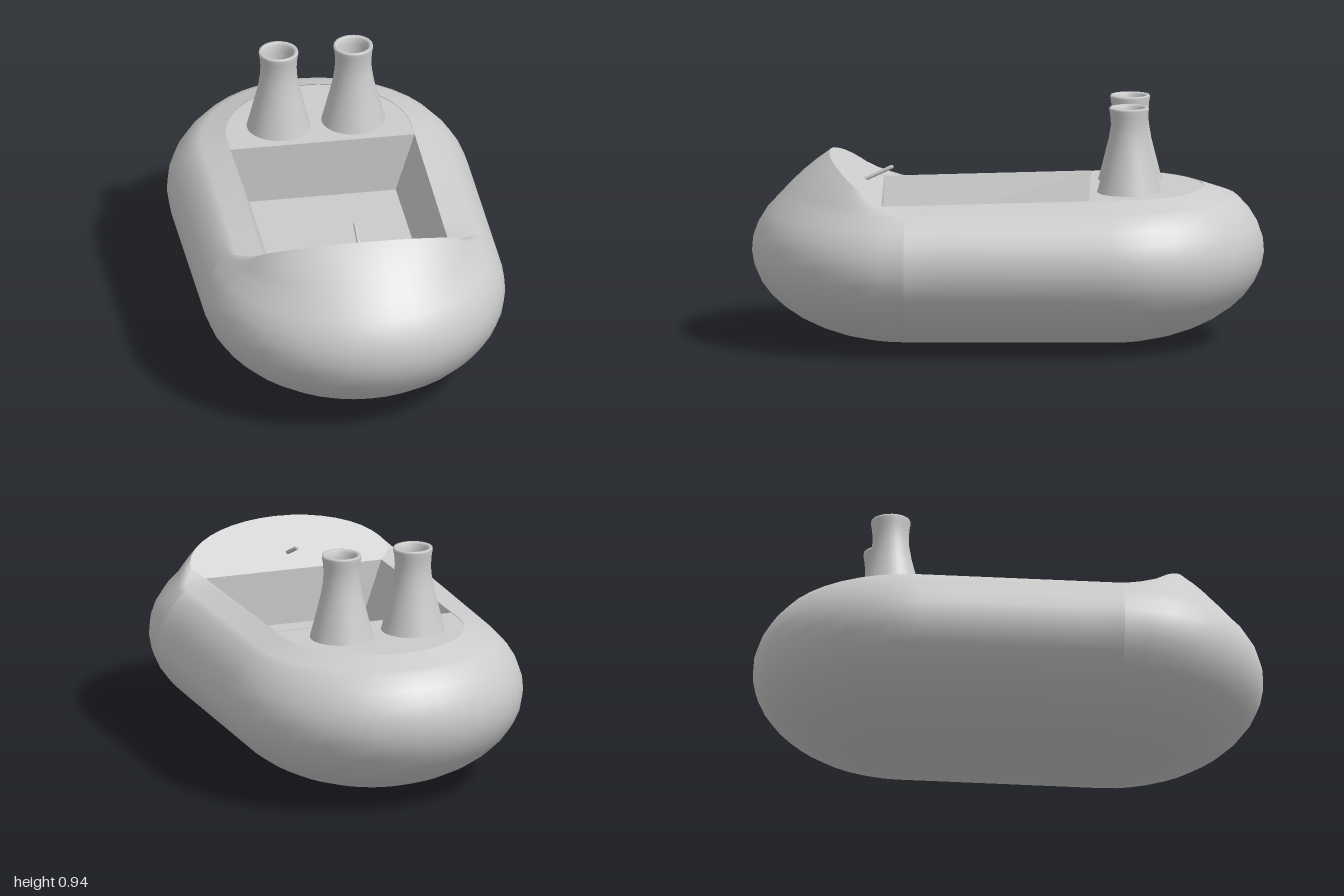
import * as THREE from 'three';

const CAP = 20, SIDE = 6;          // steps round each end and along each side
const SPINE = 0.4, HALF_W = 0.595, END_R = 0.6, MID_Y = 0.367, HALF_H = 0.362;
const RIM = 0.365, WELL_BACK = -0.32, WELL_FRONT = 0.49;
const material = new THREE.MeshStandardMaterial({ color: 0xcccccc, side: THREE.DoubleSide });

const railY = z => 0.59 + 0.025 * THREE.MathUtils.clamp((WELL_FRONT - z) / 0.89, 0, 1);
const dashY = z => 0.59 + (z - WELL_FRONT) * 0.75;

// Stations round the capsule plan: front cap, right side, back cap, left side
function stations() {
  const list = [];
  for (let i = 0; i <= CAP; i++) list.push({ a: Math.PI * i / CAP, z: SPINE, part: 'front' });
  for (let i = 0; i <= SIDE; i++) list.push({ a: Math.PI, z: SPINE * (1 - 2 * i / SIDE), part: 'side' });
  for (let i = 1; i < CAP; i++) list.push({ a: Math.PI * (1 + i / CAP), z: -SPINE, part: 'back' });
  for (let i = 0; i <= SIDE; i++) list.push({ a: 0, z: SPINE * (2 * i / SIDE - 1), part: 'side' });
  return list;
}

// Joins closed rings of equal length into one skin
function loft(rings) {
  const n = rings[0].length, index = [];
  for (let i = 0; i < rings.length - 1; i++) for (let j = 0; j < n; j++) {
    const a = i * n + j, b = i * n + (j + 1) % n;
    index.push(a, a + n, b, b, a + n, b + n);
  }
  const g = new THREE.BufferGeometry();
  g.setAttribute('position', new THREE.Float32BufferAttribute(rings.flat(2), 3));
  g.setIndex(index);
  g.computeVertexNormals();
  return g;
}

// Upward panel from [x, z] points, with its height given by a rule
function panel(points, height) {
  const g = new THREE.ShapeGeometry(new THREE.Shape(points.map(([x, z]) => new THREE.Vector2(x, -z))));
  g.rotateX(-Math.PI / 2);
  const p = g.attributes.position;
  for (let i = 0; i < p.count; i++) p.setY(i, height(p.getZ(i)));
  g.computeVertexNormals();
  return g;
}

// Inner edge of the hull: raised hood in front, low rail elsewhere
function innerEdge({ a, z, part }) {
  if (part === 'front') {
    const hz = 0.53 + 0.168 * Math.sin(a);
    return [0.41 * Math.cos(a), dashY(hz), hz];
  }
  const iz = z > 0 ? z * WELL_FRONT / SPINE : z + RIM * Math.min(0, Math.sin(a));
  return [RIM * Math.cos(a), railY(iz), iz];
}

export function createModel() {
  const model = new THREE.Group();
  const add = (name, geometry) => {
    const mesh = new THREE.Mesh(geometry, material);
    mesh.name = name;
    model.add(mesh);
    return mesh;
  };

  // Rounded hull, then the shoulder leading up to the inner edge
  const plan = stations(), rings = [], rimAngle = Math.asin(0.553);
  for (let i = 0; i <= 14; i++) {
    const phi = THREE.MathUtils.lerp(-Math.PI / 2, rimAngle, i / 14);
    const c = Math.cos(phi), y = MID_Y + HALF_H * Math.sin(phi);
    rings.push(plan.map(s => [HALF_W * c * Math.cos(s.a), y, s.z + END_R * c * Math.sin(s.a)]));
  }
  const shoulder = rings[rings.length - 1];
  for (const t of [0.25, 0.5, 0.75, 1]) {
    rings.push(plan.map((s, j) => {
      const edge = innerEdge(s);
      const p = shoulder[j].map((v, k) => THREE.MathUtils.lerp(v, edge[k], t));
      if (s.part === 'front') p[1] += 0.05 * t * (1 - t) * Math.sin(s.a);
      return p;
    }));
  }
  add('hull', loft(rings));

  // Sloping dashboard behind the hood
  const dash = plan.filter(s => s.part === 'front').map(innerEdge).map(([x, , z]) => [x, z]);
  add('dashboard', panel([...dash, [-RIM, WELL_FRONT], [RIM, WELL_FRONT]], dashY));

  // Rear deck
  const deck = [[-RIM, WELL_BACK]];
  for (let i = 0; i <= CAP; i++) {
    const a = Math.PI * (1 + i / CAP);
    deck.push([RIM * Math.cos(a), -SPINE + RIM * Math.sin(a)]);
  }
  deck.push([RIM, WELL_BACK]);
  add('rearDeck', panel(deck, z => railY(z) - 0.002));

  // Cockpit well with inward sloping sides
  const corners = w => [[w, WELL_FRONT], [-w, WELL_FRONT], [-w, WELL_BACK], [w, WELL_BACK]];
  const floorY = 0.37, floorW = 0.29;
  const walls = loft([
    corners(RIM).map(([x, z]) => [x, railY(z), z]),
    corners(floorW).map(([x, z]) => [x, floorY, z]),
  ]).toNonIndexed();
  walls.computeVertexNormals();
  add('cockpitWalls', walls);
  add('cockpitFloor', panel(corners(floorW), () => floorY));

  // Pair of flared, hollow funnels
  const outer = [[0.125, 0.615], [0.113, 0.66], [0.098, 0.72], [0.083, 0.78], [0.073, 0.84],
    [0.071, 0.88], [0.074, 0.92], [0.078, 0.942], [0.076, 0.95]];
  const inner = outer.slice(0, -1).reverse().map(([r, y]) => [r - 0.018, y]);
  const profile = [...outer, [0.066, 0.95], ...inner].map(([r, y]) => new THREE.Vector2(r, y));
  for (const side of [1, -1]) {
    const funnel = add(side > 0 ? 'leftFunnel' : 'rightFunnel', new THREE.LatheGeometry(profile, 28));
    funnel.position.set(side * 0.148, 0, -0.475);
  }

  // Control lever on the dashboard
  const path = new THREE.LineCurve3(new THREE.Vector3(0, 0.635, 0.565), new THREE.Vector3(0, 0.686, 0.455));
  add('lever', new THREE.TubeGeometry(path, 1, 0.008, 10));
  const tip = add('leverTip', new THREE.SphereGeometry(0.008, 10, 8));
  tip.position.copy(path.v2);

  return model;
}
